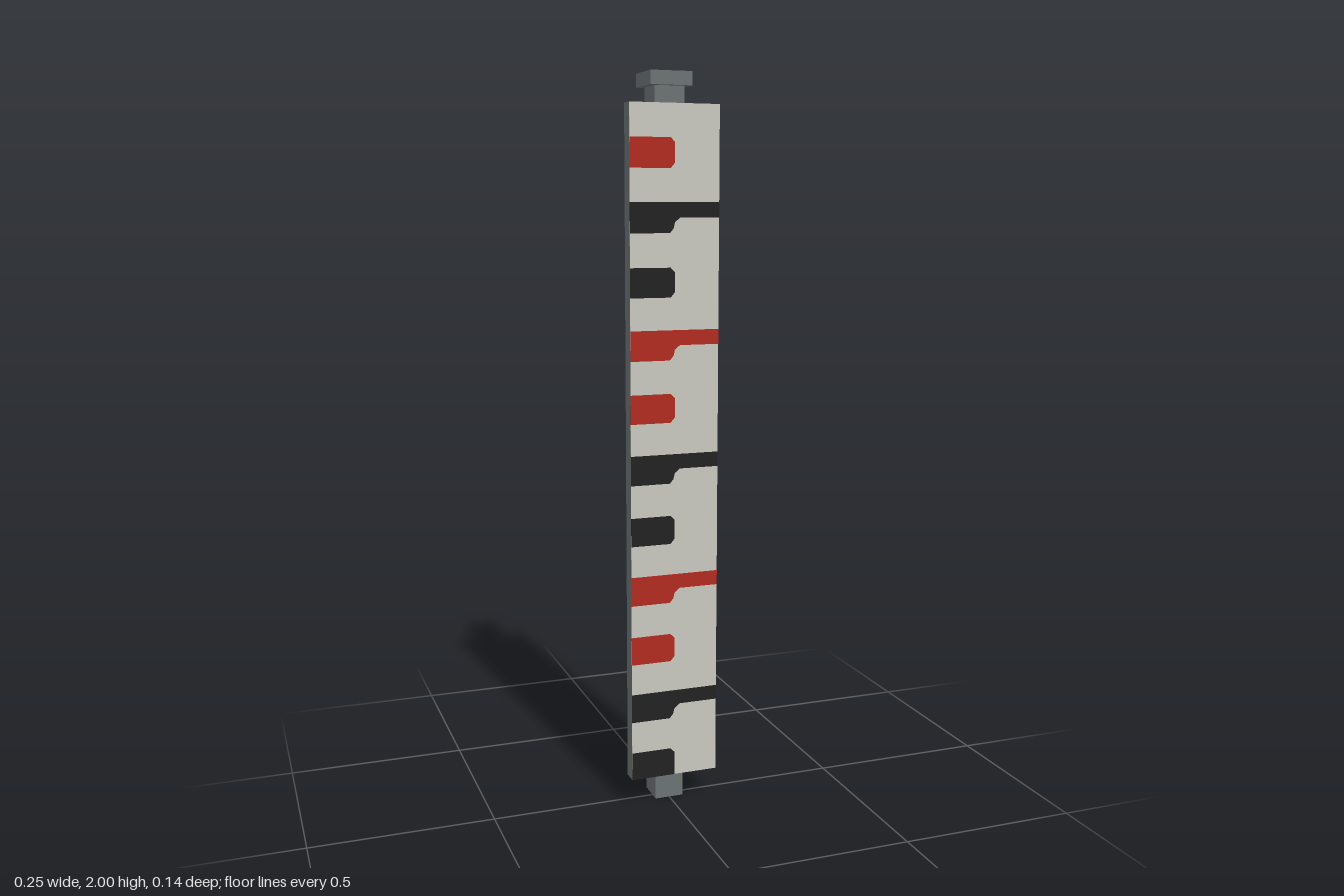
import * as THREE from 'three';

const mat = (name, color) => new THREE.MeshStandardMaterial({ name, color });

export function createModel() {
  const steel = mat('steel grey', 0x6c7173);
  const white = mat('off white', 0xc8c8c0);
  const red = mat('signal red', 0xb12b21);
  const black = mat('black', 0x222222);
  const model = new THREE.Group();
  model.name = 'gaugePost';

  const add = (name, geometry, material) => {
    const mesh = new THREE.Mesh(geometry, material);
    mesh.name = name;
    model.add(mesh);
    return mesh;
  };
  // Box given by its limits on each axis
  const box = (name, material, [x0, x1], [y0, y1], [z0, z1]) =>
    add(name, new THREE.BoxGeometry(x1 - x0, y1 - y0, z1 - z0), material)
      .position.set((x0 + x1) / 2, (y0 + y1) / 2, (z0 + z1) / 2);

  // Post, cap and gauge board
  const W = 0.124, bottom = 0.086, top = 1.917, front = 0.07;
  box('post', steel, [-0.041, 0.041], [0, 1.964], [-0.054, 0.028]);
  box('cap', steel, [-0.058, 0.058], [1.964, 2], [-0.072, 0.044]);
  box('board', steel, [-W, W], [bottom, top], [0.028, front - 0.001]);
  box('boardFace', white, [-W, W], [bottom, top], [front - 0.001, front]);

  // Thin painted mark, outline measured from its top edge
  const mark = (name, material, y, points) => {
    const shape = new THREE.Shape(points.map(([x, dy]) => new THREE.Vector2(x, y + dy)));
    const geometry = new THREE.ExtrudeGeometry(shape, { depth: 0.001, bevelEnabled: false });
    add(name, geometry, material).position.z = front;
  };
  const step = 1 / 3;
  for (let i = 0; i < 6; i++) {
    const colour = i % 2 ? red : black;
    // Short half-width mark; the lowest one ends square at the board edge
    const cut = i ? 0.012 : 0;
    mark('shortMark', colour, 0.164 + i * step, [
      [-W, 0], [-W, -0.078], [-cut, -0.078], [0, -0.078 + cut * 1.2],
      [0, -0.012], [-0.012, 0],
    ]);
    // Full-width mark with a thicker left half
    if (i < 5) {
      mark('longMark', colour, (i + 1) * step, [
        [-W, 0], [-W, -0.08], [-0.014, -0.08], [-0.004, -0.068],
        [0, -0.052], [0.014, -0.04], [W, -0.04], [W, 0],
      ]);
    }
  }
  return model;
}
